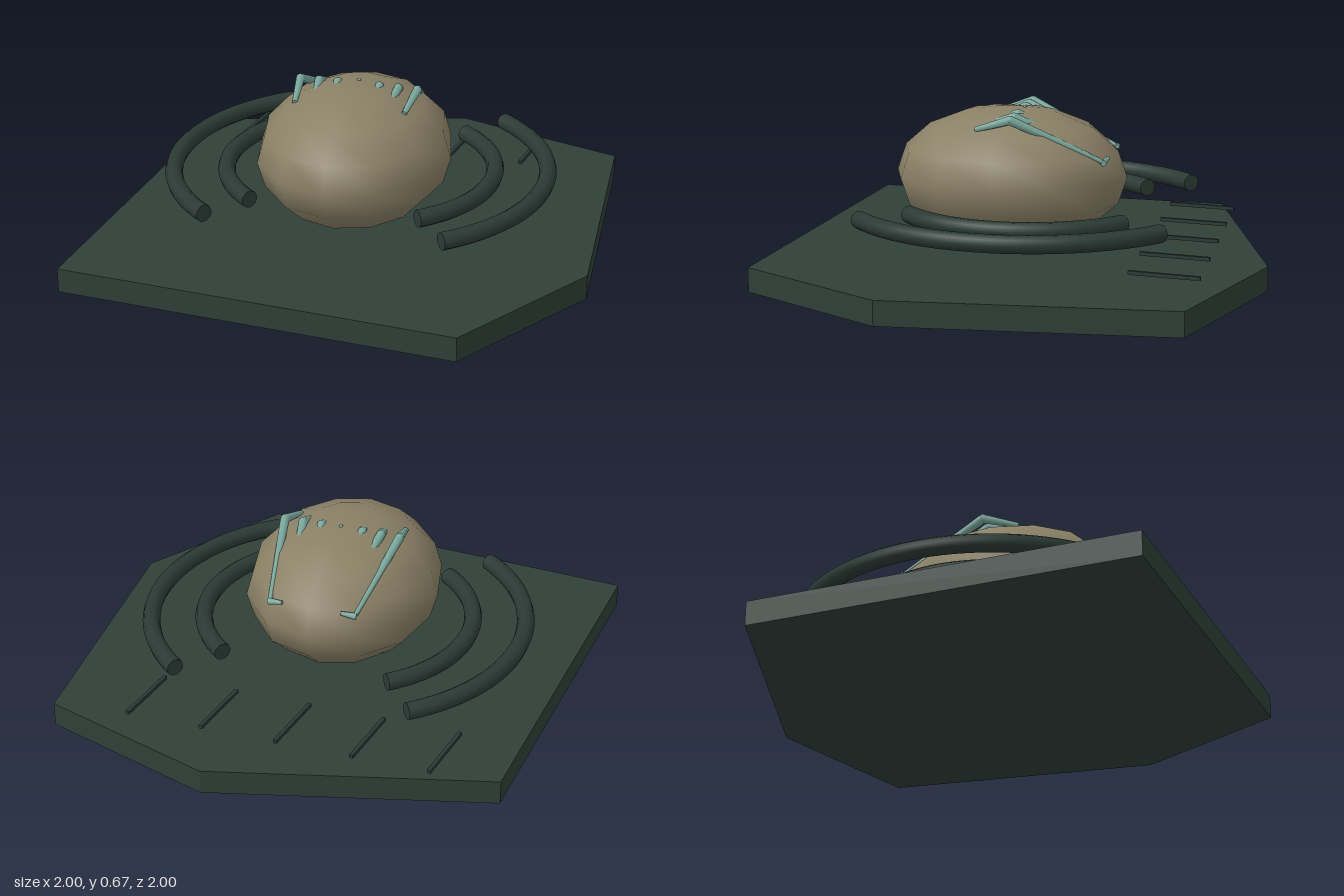
import * as THREE from 'three';

const mat = (name, color) => {
  const m = new THREE.MeshStandardMaterial({ color });
  m.name = name;
  return m;
};

export function createModel() {
  const slabGreen = mat('slabGreen', 0x2f3f38);
  const ringGreen = mat('ringGreen', 0x2b3a34);
  const shellOlive = mat('shellOlive', 0x8a8066);
  const boneTeal = mat('boneTeal', 0x78a59a);
  const group = new THREE.Group();
  const CX = -0.012; // mirror line of everything above the slab

  const add = (name, geo, material, parent = group) => {
    const mesh = new THREE.Mesh(geo, material);
    mesh.name = name;
    parent.add(mesh);
    return mesh;
  };

  // tapered rod between two points
  const rod = (name, a, b, ra, rb, parent) => {
    const p = new THREE.Vector3(...a), q = new THREE.Vector3(...b);
    const d = q.clone().sub(p);
    const mesh = add(name, new THREE.CylinderGeometry(rb, ra, d.length(), 8), boneTeal, parent);
    mesh.position.copy(p).add(q).multiplyScalar(0.5);
    mesh.quaternion.setFromUnitVectors(new THREE.Vector3(0, 1, 0), d.normalize());
    return mesh;
  };

  // irregular six-sided slab
  const outline = [[-0.89, -0.7], [0.21, -1], [0.93, -0.76], [1, 0.39], [0.62, 1], [-1, 0.865]];
  const shape = new THREE.Shape(outline.map(([x, z]) => new THREE.Vector2(x, -z)));
  const slab = new THREE.ExtrudeGeometry(shape, { depth: 0.1, bevelEnabled: false });
  slab.rotateX(-Math.PI / 2);
  add('slab', slab, slabGreen);

  // egg-shaped body
  const body = add('body', new THREE.SphereGeometry(1, 12, 8), shellOlive);
  body.scale.set(0.395, 0.283, 0.48);
  body.position.set(CX, 0.387, 0.075);

  // two pairs of curved bars around the body
  const arc = 1.8;
  for (const [name, radius] of [['innerBar', 0.55], ['outerBar', 0.765]]) {
    for (const side of [0, Math.PI]) {
      const geo = new THREE.TorusGeometry(radius, 0.036, 10, 28, arc);
      geo.rotateZ(-arc / 2 + side);
      geo.rotateX(Math.PI / 2);
      geo.translate(CX, 0.275, -0.01);
      add(name, geo, ringGreen);
      // end caps
      for (const s of [-1, 1]) {
        const a = side + s * arc / 2;
        const cap = add(name + 'Cap', new THREE.CircleGeometry(0.036, 10), ringGreen);
        cap.position.set(CX + radius * Math.cos(a), 0.275, -0.01 + radius * Math.sin(a));
        cap.rotation.y = Math.atan2(-s * Math.sin(a), s * Math.cos(a));
      }
    }
  }

  // row of slanted thin strips behind the body
  for (let i = 0; i < 5; i++) {
    const strip = add('strip', new THREE.BoxGeometry(0.015, 0.015, 0.285), ringGreen);
    strip.position.set(-0.65 + i * 0.3075, 0.14, -0.638);
    strip.rotation.y = -0.15;
  }

  // bent limbs, partly sunk in the body
  for (const s of [-1, 1]) {
    const limbs = new THREE.Group();
    limbs.name = s > 0 ? 'leftLimbs' : 'rightLimbs';
    limbs.position.x = CX;
    group.add(limbs);
    for (const d of [0.243, 0.165, 0.087]) {
      const knee = [s * d, 0.65, 0.03];
      rod('foreLimb', [s * (d - 0.018), 0.605, 0.175], knee, 0.011, 0.019, limbs);
      rod('hindLimb', knee, [s * (d - 0.065), 0.485, -0.33], 0.019, 0.009, limbs);
      add('joint', new THREE.SphereGeometry(0.019, 8, 6), boneTeal, limbs).position.set(...knee);
    }
    // small foot at the rear end of the outer limb
    rod('foot', [s * 0.182, 0.48, -0.335], [s * 0.122, 0.49, -0.345], 0.014, 0.008, limbs);
  }
  add('middleJoint', new THREE.SphereGeometry(0.008, 8, 6), boneTeal).position.set(CX, 0.664, 0.02);

  return group;
}
